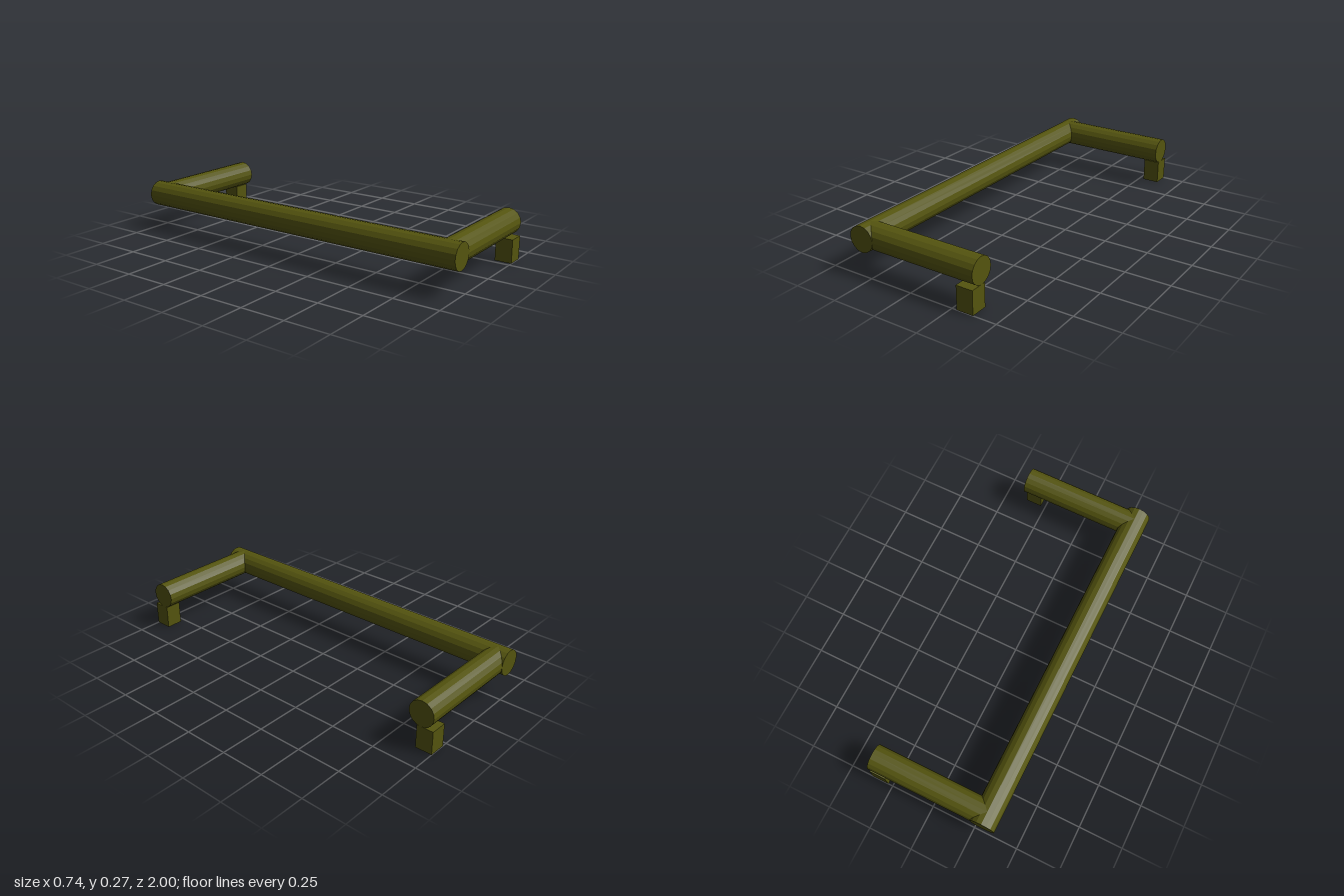
import * as THREE from 'three';

export function createModel() {
  const group = new THREE.Group();
  const material = new THREE.MeshStandardMaterial({ color: 0x55550f, flatShading: true });
  const R = 0.072, barX = -0.3, endX = 0.371, axisY = 0.201, footSize = 0.094, footHeight = 0.13;

  function add(name, geometry, x, y, z) {
    const mesh = new THREE.Mesh(geometry, material);
    mesh.name = name;
    mesh.position.set(x, y, z);
    group.add(mesh);
  }

  // Long grip running front to back
  add('gripBar', new THREE.CylinderGeometry(R, R, 2, 16).rotateX(Math.PI / 2), barX, axisY, 0);

  // Side arms, each with a square mounting foot under its end
  for (const side of [1, -1]) {
    const end = side > 0 ? 'front' : 'back';
    const length = endX - barX;
    add(end + 'Arm', new THREE.CylinderGeometry(R, R, length, 16).rotateZ(Math.PI / 2),
      barX + length / 2, axisY, side * (1 - R));
    add(end + 'Foot', new THREE.BoxGeometry(footSize, footHeight, footSize),
      endX - footSize / 2, footHeight / 2, side * (1 - footSize / 2));
  }
  return group;
}
